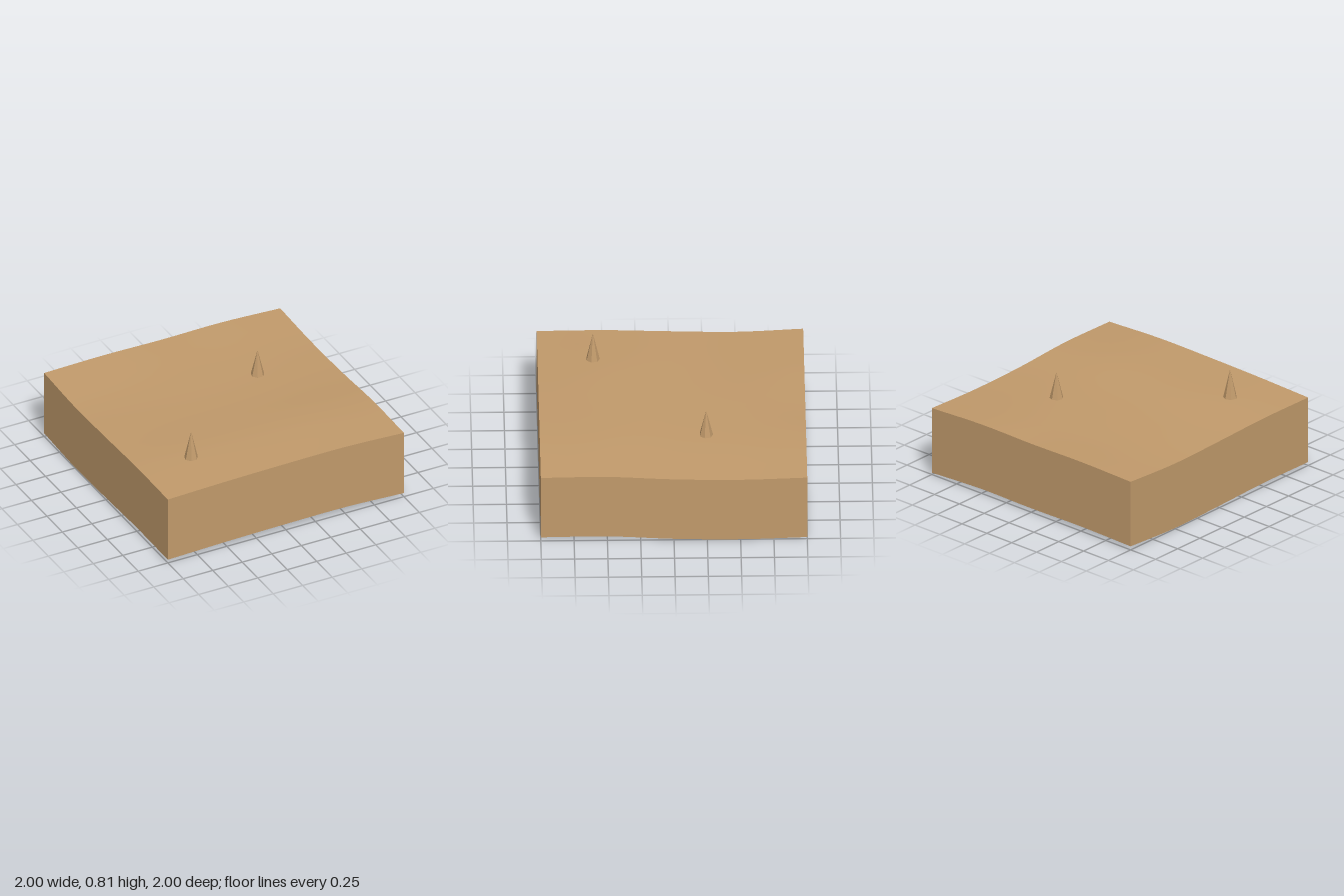
import * as THREE from 'three';

const SEGMENTS = 20;
const DEPTH = 0.535;

// Ground heights at x = -1, -0.5, 0, 0.5, 1 for rows running from z = -1 to z = 1
const HEIGHTS = [
  [0.566, 0.575, 0.569, 0.573, 0.552],
  [0.543, 0.554, 0.560, 0.558, 0.537],
  [0.553, 0.561, 0.565, 0.563, 0.546],
  [0.568, 0.586, 0.591, 0.592, 0.573],
  [0.565, 0.580, 0.588, 0.590, 0.569],
];

// Smooth curve through five evenly spaced values, t from -1 to 1
function smooth(values, t) {
  const u = THREE.MathUtils.clamp((t + 1) * 2, 0, 4);
  const i = Math.min(3, Math.floor(u));
  const f = u - i;
  const b = values[i], c = values[i + 1];
  const a = i > 0 ? values[i - 1] : 2 * b - c;
  const d = i < 3 ? values[i + 2] : 2 * c - b;
  return b + 0.5 * f * (c - a + f * (2 * a - 5 * b + 4 * c - d + f * (3 * (b - c) + d - a)));
}

function groundHeight(x, z) {
  return smooth(HEIGHTS.map((row) => smooth(row, x)), z);
}

export function createModel() {
  const model = new THREE.Group();
  model.name = 'terrainBlock';
  const earth = new THREE.MeshStandardMaterial({ color: 0xc19a6b, side: THREE.DoubleSide });
  earth.name = 'sandyEarth';
  const rock = earth.clone();
  rock.flatShading = true;

  function add(name, geometry, material) {
    const mesh = new THREE.Mesh(geometry, material);
    mesh.name = name;
    model.add(mesh);
    return mesh;
  }

  // Gently rolling ground
  const ground = new THREE.PlaneGeometry(2, 2, SEGMENTS, SEGMENTS).rotateX(-Math.PI / 2);
  const gp = ground.attributes.position;
  for (let i = 0; i < gp.count; i++) gp.setY(i, groundHeight(gp.getX(i), gp.getZ(i)));
  ground.computeVertexNormals();
  add('ground', ground, earth);

  // Four skirt walls of even depth, open underneath
  ['frontWall', 'leftWall', 'backWall', 'rightWall'].forEach((name, k) => {
    const wall = new THREE.PlaneGeometry(2, 1, SEGMENTS, 1)
      .translate(0, 0, 1)
      .rotateY((k * Math.PI) / 2);
    const p = wall.attributes.position;
    for (let i = 0; i < p.count; i++) {
      const top = groundHeight(p.getX(i), p.getZ(i));
      p.setY(i, p.getY(i) > 0 ? top : top - DEPTH);
    }
    add(name, wall, earth);
  });

  // Seven-sided spikes standing on the ground
  [[-0.585, 0.585, 0.815], [0.415, -0.25, 0.775]].forEach(([x, z, tip], i) => {
    const base = groundHeight(x, z) - 0.003;
    const spike = new THREE.ConeGeometry(0.053, tip - base, 7).rotateY(Math.PI);
    add(`spike${i + 1}`, spike, rock).position.set(x, (tip + base) / 2, z);
  });

  return model;
}
